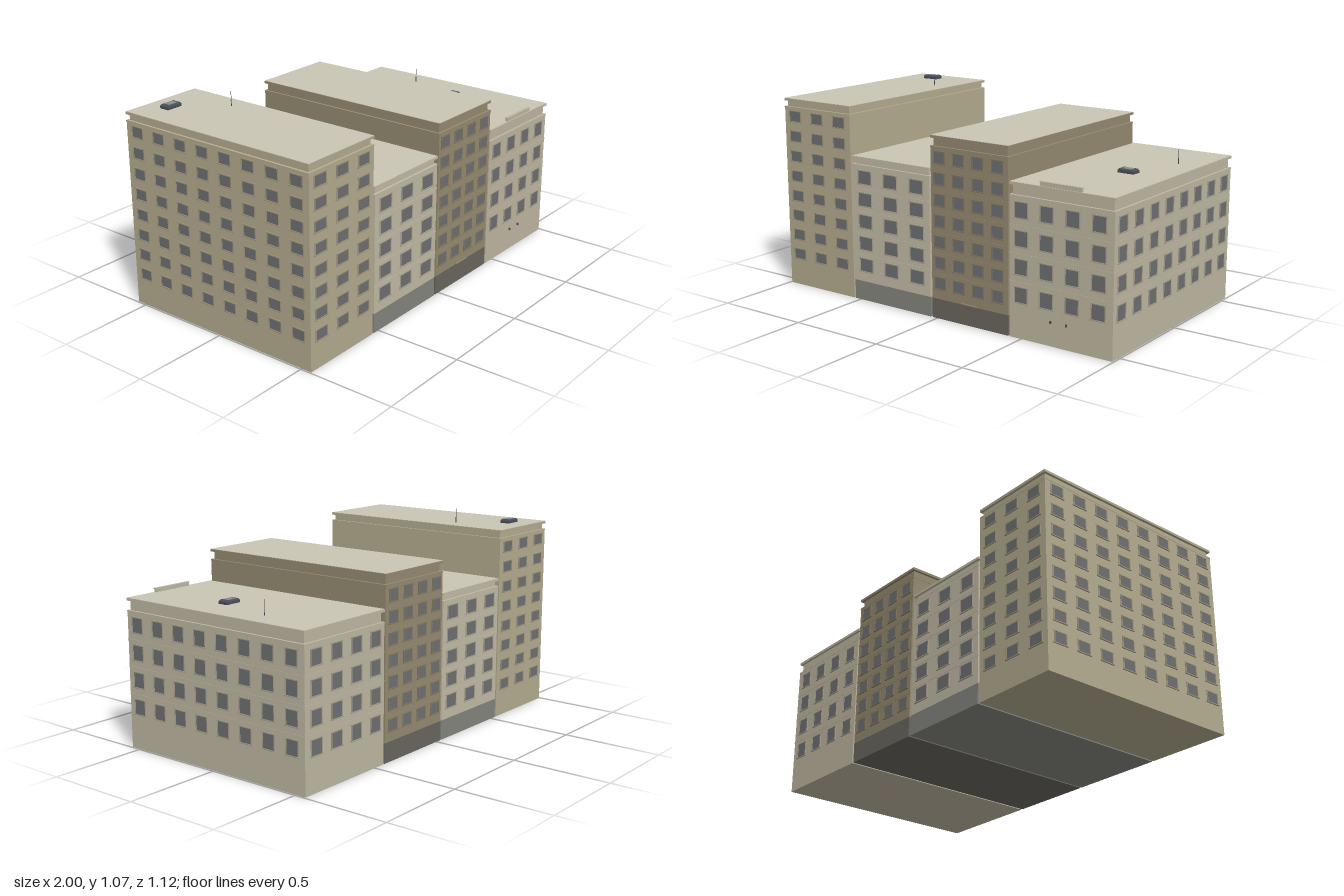
import * as THREE from 'three';
import { mergeGeometries } from 'three/addons/utils/BufferGeometryUtils.js';

const DEPTH = 0.555; // half depth of every building
const GLASS = 0x6f7072, ROOF = 0xcbc6b5, DARK = 0x4a4f58;

function boxGeo(w, h, d, x, y, z) {
  return new THREE.BoxGeometry(w, h, d).translate(x, y, z);
}

function addMesh(group, name, geo, color) {
  const mesh = new THREE.Mesh(geo, new THREE.MeshStandardMaterial({ color }));
  mesh.name = name;
  group.add(mesh);
  return mesh;
}

// Evenly spaced values from a to b
const spread = (a, b, n) => Array.from({ length: n }, (_, i) => a + (b - a) * i / (n - 1));

const BUILDINGS = [
  { name: 'tallLeftBuilding', x0: -0.993, x1: -0.544, top: 0.99, ledge: 0.945, color: 0xb5ad90,
    cols: spread(-0.92, -0.618, 3), rows: spread(0.168, 0.9, 8), w: 0.078, h: 0.056, side: -1 },
  { name: 'lowMiddleBuilding', x0: -0.534, x1: -0.039, top: 0.743, ledge: 0.7, color: 0xc3bca6,
    cols: spread(-0.452, -0.12, 3), rows: spread(0.187, 0.64, 5), w: 0.086, h: 0.07, bands: true, base: 0x85857f },
  { name: 'brownBuilding', x0: -0.028, x1: 0.425, top: 0.905, ledge: 0.85, color: 0x958b70,
    cols: spread(0.024, 0.366, 4), rows: spread(0.18, 0.8, 7), w: 0.064, h: 0.06, bands: true, base: 0x6a675f },
  { name: 'rightCornerBuilding', x0: 0.434, x1: 0.993, top: 0.743, ledge: 0.68, color: 0xc0b8a2,
    cols: spread(0.5, 0.917, 4), rows: spread(0.212, 0.616, 4), w: 0.072, h: 0.077, bands: true, side: 1 },
];

// Window parts facing +z, centred on the origin of the wall plane
function windowParts(w, h) {
  const t = 0.005, d = 0.008;
  return {
    glass: [boxGeo(w, h, 0.004, 0, 0, 0)],
    frame: [
      boxGeo(t, h, d, -w / 2, 0, 0),
      boxGeo(t, h, d, w / 2, 0, 0),
      boxGeo(w + 0.008, t, d, 0, h / 2, 0),
      boxGeo(w + 0.014, t, 0.012, 0, -h / 2, 0),
    ],
  };
}

function createBuilding(b) {
  const g = new THREE.Group();
  g.name = b.name;
  const w = b.x1 - b.x0, cx = (b.x0 + b.x1) / 2, d = DEPTH * 2;
  const baseTop = b.base ? 0.1 : 0;

  // Walls and ground storey
  addMesh(g, 'walls', boxGeo(w, b.ledge - baseTop, d, cx, (b.ledge + baseTop) / 2, 0), b.color);
  if (b.base) addMesh(g, 'groundStorey', boxGeo(w, baseTop, d, cx, baseTop / 2, 0), b.base);

  // Cornice: ledge, recessed frieze and cap
  const friezeH = b.top - b.ledge;
  addMesh(g, 'frieze', boxGeo(w - 0.022, friezeH, d - 0.022, cx, b.ledge + friezeH / 2, 0), b.color);
  addMesh(g, 'ledge', boxGeo(w + 0.003, 0.007, d + 0.003, cx, b.ledge, 0), b.color);
  addMesh(g, 'cap', boxGeo(w + 0.003, 0.012, d + 0.003, cx, b.top - 0.007, 0), b.color);
  addMesh(g, 'roof', boxGeo(w, 0.002, d, cx, b.top, 0), ROOF);

  // Thin bands between the storeys
  if (b.bands) {
    const step = b.rows[1] - b.rows[0];
    const bands = b.rows.slice(0, -1).map(y => boxGeo(w + 0.003, 0.006, d + 0.003, cx, y + step / 2 - 0.007, 0));
    addMesh(g, 'storeyBands', mergeGeometries(bands), b.color);
  }

  // Windows on front, back and any exposed side wall
  const glass = [], frame = [];
  const place = (x, y, z, turn) => {
    const parts = windowParts(turn % Math.PI ? 0.07 : b.w, b.h);
    const m = new THREE.Matrix4().makeRotationY(turn).setPosition(x, y, z);
    parts.glass.forEach(p => glass.push(p.applyMatrix4(m)));
    parts.frame.forEach(p => frame.push(p.applyMatrix4(m)));
  };
  for (const y of b.rows) {
    for (const x of b.cols) {
      place(x, y, DEPTH, 0);
      place(x, y, -DEPTH, Math.PI);
    }
    if (b.side) {
      for (const z of spread(0.487, -0.483, 8)) {
        place(b.side > 0 ? b.x1 : b.x0, y, z, b.side * Math.PI / 2);
      }
    }
  }
  addMesh(g, 'windowPanes', mergeGeometries(glass), GLASS);
  addMesh(g, 'windowFrames', mergeGeometries(frame), new THREE.Color(b.color).multiplyScalar(0.75));
  return g;
}

// Roof hatch with a bevelled lid and a glazed top
function createSkylight(x, y, z) {
  const g = new THREE.Group();
  g.name = 'skylight';
  addMesh(g, 'curb', boxGeo(0.088, 0.014, 0.052, 0, 0.007, 0), DARK);
  const lid = new THREE.CylinderGeometry(0.86, 1, 0.007, 4, 1).rotateY(Math.PI / 4)
    .scale(0.088 / Math.SQRT2, 1, 0.052 / Math.SQRT2).translate(0, 0.0175, 0);
  addMesh(g, 'lid', lid, DARK).material.flatShading = true;
  addMesh(g, 'pane', boxGeo(0.052, 0.002, 0.034, 0, 0.0215, 0), 0x8a8d92);
  g.position.set(x, y, z);
  return g;
}

function createAntenna(x, y, z) {
  const g = new THREE.Group();
  g.name = 'antenna';
  addMesh(g, 'mast', new THREE.CylinderGeometry(0.0012, 0.0012, 0.075, 6).translate(0, 0.0375, 0), DARK);
  addMesh(g, 'mastFoot', new THREE.CylinderGeometry(0.0022, 0.0022, 0.03, 6).translate(0, 0.015, 0), DARK);
  g.position.set(x, y, z);
  return g;
}

export function createModel() {
  const model = new THREE.Group();
  model.name = 'cityBlock';
  BUILDINGS.forEach(b => model.add(createBuilding(b)));

  // Rooftop equipment
  model.add(createSkylight(-0.82, 0.99, -0.435), createSkylight(0.78, 0.743, 0.087));
  model.add(createAntenna(-0.633, 0.99, -0.222), createAntenna(0.877, 0.743, -0.222));

  // Raised parapet over the corner building's front
  addMesh(model, 'raisedParapet', boxGeo(0.22, 0.018, 0.012, 0.71, 0.752, 0.547), 0xc0b8a2);
  addMesh(model, 'raisedParapetCap', boxGeo(0.226, 0.005, 0.016, 0.71, 0.762, 0.547), 0xc0b8a2);

  // Door canopy and small wall lamps
  addMesh(model, 'doorCanopy', boxGeo(0.09, 0.005, 0.008, 0.197, 0.104, DEPTH + 0.002), 0x958b70);
  for (const x of [0.665, 0.75]) {
    addMesh(model, 'wallLamp', boxGeo(0.008, 0.012, 0.008, x, 0.117, DEPTH + 0.003), DARK);
  }
  return model;
}
